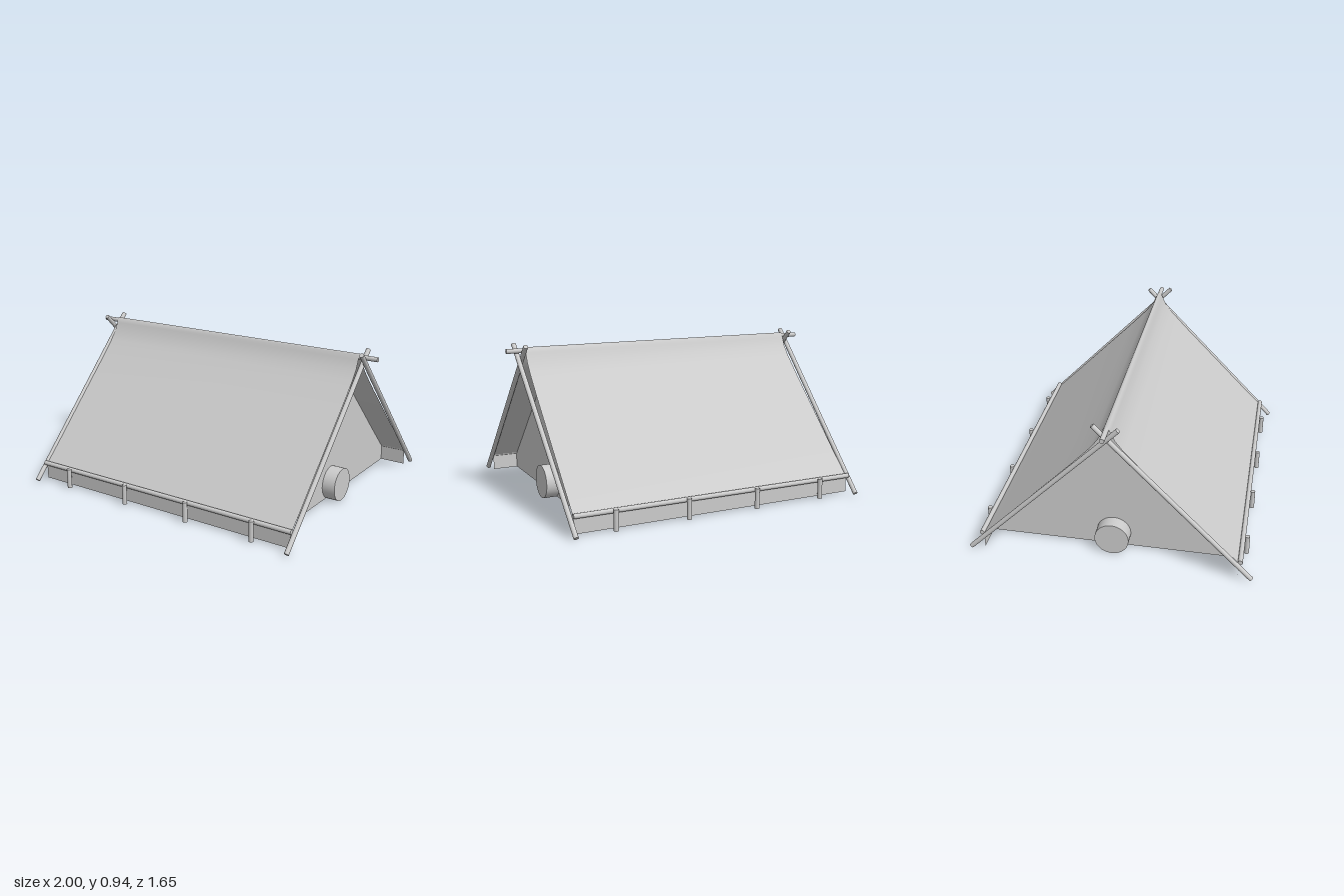
import * as THREE from 'three';

const grey = new THREE.MeshStandardMaterial({ color: 0xcccccc });
const cloth = new THREE.MeshStandardMaterial({ color: 0xcccccc, side: THREE.DoubleSide });

// Half profile of the cloth as [z, y], from the ridge down to the eave
const half = [[0, 0.916], [0.012, 0.91], [0.022, 0.885], [0.045, 0.835], [0.09, 0.775],
  [0.2, 0.657], [0.4, 0.452], [0.6, 0.246], [0.74, 0.105]];
const EAVE_Z = 0.74, CLOTH_X = 0.89, WALL_X = 0.73;

export function createModel() {
  const model = new THREE.Group();

  const add = (name, geometry, x, y, z, material = grey) => {
    const mesh = new THREE.Mesh(geometry, material);
    mesh.name = name;
    mesh.position.set(x, y, z);
    model.add(mesh);
    return mesh;
  };

  // Round pole between two points
  const pole = (name, from, to, radius) => {
    const a = new THREE.Vector3(...from), b = new THREE.Vector3(...to);
    const dir = b.clone().sub(a);
    const mid = a.clone().add(b).multiplyScalar(0.5);
    const mesh = add(name, new THREE.CylinderGeometry(radius, radius, dir.length(), 16), mid.x, mid.y, mid.z);
    mesh.quaternion.setFromUnitVectors(new THREE.Vector3(0, 1, 0), dir.normalize());
    return mesh;
  };

  // Cloth draped over the ridge: a plane bent along the mirrored profile
  const profile = [...half.slice(1).reverse().map(([z, y]) => [-z, y]), ...half];
  const roof = new THREE.PlaneGeometry(2 * CLOTH_X, 1, 1, profile.length - 1);
  const pos = roof.attributes.position;
  for (let i = 0; i < pos.count; i++) {
    const [z, y] = profile[Math.floor(i / 2)];
    pos.setXYZ(i, pos.getX(i), y, z);
  }
  roof.computeVertexNormals();
  add('roofCloth', roof, 0, 0, 0, cloth);

  // End walls, set back under the overhang
  const outline = new THREE.Shape();
  outline.moveTo(-EAVE_Z, 0.01);
  profile.forEach(([z, y]) => outline.lineTo(z, y - 0.004));
  outline.lineTo(EAVE_Z, 0.01);
  for (const s of [-1, 1]) {
    const wall = add('endWall', new THREE.ShapeGeometry(outline), s * WALL_X, 0, 0, cloth);
    wall.rotation.y = s * Math.PI / 2;
  }

  // Ridge pole
  pole('ridgePole', [-1, 0.897, 0], [1, 0.897, 0], 0.014);

  // Crossed poles at both ends; the back one leans outward past the front one
  for (const s of [-1, 1]) {
    pole('frontRafter', [s * 0.905, 0.014, 0.817], [s * 0.905, 0.928, -0.072], 0.014);
    pole('backRafter', [s * 0.905, 0.014, -0.817], [s * 0.932, 0.928, 0.072], 0.014);
  }

  // Skirts, eave rails and stakes along both long sides
  for (const s of [-1, 1]) {
    const skirt = add('skirt', new THREE.PlaneGeometry(2 * CLOTH_X, 0.095), 0, 0.0575, s * EAVE_Z, cloth);
    if (s < 0) skirt.rotation.y = Math.PI;
    pole('eaveRail', [-0.895, 0.112, s * 0.749], [0.895, 0.112, s * 0.749], 0.014);
    for (const x of [-0.67, -0.227, 0.217, 0.66]) {
      pole('stake', [x, 0.005, s * 0.774], [x, 0.125, s * 0.774], 0.014);
    }
  }

  // Log through the tent, with a plank on top and chocks below
  pole('log', [-0.81, 0.1, 0], [0.81, 0.1, 0], 0.1).geometry = new THREE.CylinderGeometry(0.1, 0.1, 1.62, 40);
  add('plank', new THREE.BoxGeometry(1.3, 0.04, 0.2), 0, 0.22, 0);
  for (const x of [-0.41, 0.41]) {
    for (const s of [-1, 1]) {
      add('chock', new THREE.BoxGeometry(0.15, 0.04, 0.06), x, 0.022, s * 0.07);
    }
  }

  return model;
}
